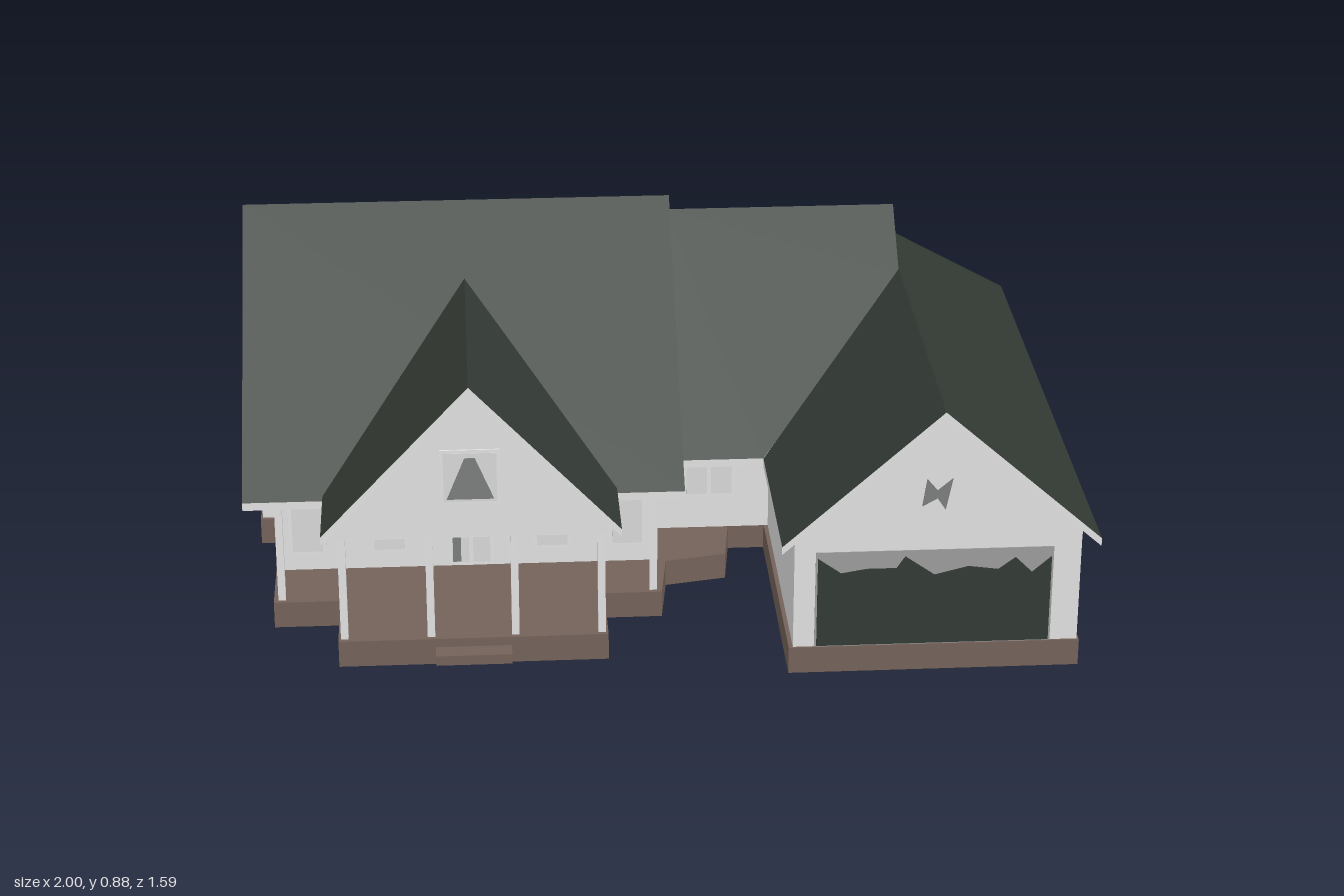
import * as THREE from 'three';

const mat = (name, color, side = THREE.FrontSide) => {
  const m = new THREE.MeshStandardMaterial({ color, side });
  m.name = name;
  return m;
};

export function createModel() {
  const roofGreen = mat('roof green', 0x333a34, THREE.DoubleSide);
  const trim = mat('trim white', 0xe2e2e2, THREE.DoubleSide);
  const wall = mat('wall white', 0xe1e1e1);
  const brown = mat('foundation brown', 0x74625a, THREE.DoubleSide);
  const slabGrey = mat('garage floor grey', 0x747474);
  const shade = mat('opening grey', 0x9c9c9c);
  const pane = mat('pane grey', 0xd8d8d8);
  const glass = mat('dark glass', 0x7c7e7e);

  const house = new THREE.Group();
  house.name = 'house';
  const add = (name, geo, material, parent = house) => {
    const m = new THREE.Mesh(geo, material);
    m.name = name;
    parent.add(m);
    return m;
  };
  const box = (name, material, x0, x1, y0, y1, z0, z1, parent) => {
    const m = add(name, new THREE.BoxGeometry(x1 - x0, y1 - y0, z1 - z0), material, parent);
    m.position.set((x0 + x1) / 2, (y0 + y1) / 2, (z0 + z1) / 2);
    return m;
  };
  const buffer = (pos) => {
    const g = new THREE.BufferGeometry();
    g.setAttribute('position', new THREE.Float32BufferAttribute(pos, 3));
    g.computeVertexNormals();
    return g;
  };
  const extrude = (pts, depth) =>
    new THREE.ExtrudeGeometry(new THREE.Shape(pts.map((p) => new THREE.Vector2(p[0], p[1]))), { depth, bevelEnabled: false });

  // Upright prism over an outline of [x, z] points
  const prism = (name, material, outline, y0, y1) => {
    const geo = extrude(outline.map(([x, z]) => [x, -z]), y1 - y0).rotateX(-Math.PI / 2);
    add(name, geo.translate(0, y0, 0), material);
  };
  // Open upright band around an outline of [x, z] points
  const skirt = (name, material, outline, y0, y1) => {
    const pos = [];
    outline.forEach(([ax, az], i) => {
      const [bx, bz] = outline[(i + 1) % outline.length];
      pos.push(ax, y0, az, ax, y1, az, bx, y1, bz, ax, y0, az, bx, y1, bz, bx, y0, bz);
    });
    add(name, buffer(pos), material);
  };
  // Thin upright walls: facing z from [x, y] points, facing x from [z, y] points
  const gableZ = (name, z, pts) => add(name, extrude(pts, 0.02).translate(0, 0, z - 0.02), wall);
  const gableX = (name, x, pts) =>
    add(name, extrude(pts.map(([z, y]) => [-z, y]), 0.02).rotateY(Math.PI / 2).translate(x - 0.01, 0, 0), wall);

  // Sloping roof panel: green top, white underside and fascia
  const roofPanel = (name, pts, t = 0.02) => {
    const n = pts.length;
    const tris = THREE.ShapeUtils.triangulateShape(pts.map((p) => new THREE.Vector2(p[0], p[2])), []);
    const surface = (edges, drop) => {
      const pos = [];
      const put = (i, d) => pos.push(pts[i][0], pts[i][1] - d, pts[i][2]);
      for (const tri of tris) for (const i of tri) put(i, drop);
      if (edges) for (let i = 0; i < n; i++) {
        const j = (i + 1) % n;
        put(i, 0); put(i, t); put(j, t);
        put(i, 0); put(j, t); put(j, 0);
      }
      return buffer(pos);
    };
    const group = new THREE.Group();
    group.name = name;
    house.add(group);
    add(name + 'Shingles', surface(false, 0), roofGreen, group);
    add(name + 'Fascia', surface(true, t), trim, group);
  };

  // Foundation: hollow skirt with raised floors, and a front step
  const base = [
    [-0.94, -0.69], [-0.57, -0.69], [-0.57, -0.755], [0.33, -0.755], [0.33, -0.69], [0.97, -0.69],
    [0.97, 0.74], [0.28, 0.74], [0.28, 0.09], [0.19, 0.09], [0.17, 0.25], [0.02, 0.28], [0, 0.44],
    [-0.14, 0.44], [-0.14, 0.645], [-0.78, 0.645], [-0.78, 0.44], [-0.94, 0.44],
  ];
  skirt('foundationSkirt', brown, base, 0, 0.067);
  prism('floor', brown, base, 0.056, 0.067);
  box('garageFloor', slabGrey, 0.282, 0.968, 0.052, 0.056, 0.06, 0.738);
  box('chimneyBase', brown, -0.99, -0.94, 0, 0.067, -0.24, -0.01);
  box('frontStep', brown, -0.55, -0.37, 0.02, 0.045, 0.645, 0.69);

  // Walls, with a recess for the back porch
  prism('walls', wall, [
    [-0.935, -0.67], [-0.57, -0.67], [-0.57, -0.45], [0.33, -0.45], [0.33, -0.67], [0.965, -0.67],
    [0.965, 0.735], [0.29, 0.735], [0.29, 0.1], [0, 0.1], [0, 0.27], [-0.935, 0.27],
  ], 0.067, 0.345);
  prism('porchCeiling', trim, [
    [-0.935, -0.67], [-0.57, -0.67], [-0.57, -0.75], [0.33, -0.75], [0.33, -0.67], [0.964, -0.67],
    [0.964, 0.734], [0.291, 0.734], [0.291, 0.27], [0.01, 0.27], [0.01, 0.44], [-0.14, 0.44],
    [-0.14, 0.649], [-0.78, 0.649], [-0.78, 0.44], [-0.935, 0.44],
  ], 0.337, 0.36);

  // Gable walls
  gableZ('porchGable', 0.65, [[-0.78, 0.34], [-0.14, 0.34], [-0.14, 0.375], [-0.46, 0.715], [-0.78, 0.375]]);
  gableZ('garageGable', 0.737, [[0.29, 0.345], [0.965, 0.345], [0.965, 0.368], [0.62, 0.667], [0.29, 0.368]]);
  for (const [name, x] of [['leftGable', -0.925], ['mainRightGable', 0.03]])
    gableX(name, x, [[-0.67, 0.345], [-0.67, 0.372], [-0.11, 0.862], [0.44, 0.372], [0.44, 0.345]]);
  gableX('middleGable', 0.6, [[-0.66, 0.36], [-0.2, 0.79], [0.26, 0.375]]);

  // Roof panels
  const E = 0.36;
  roofPanel('backRoof', [
    [-1, 0.885, -0.11], [0.052, 0.885, -0.11], [0.052, 0.812, -0.2], [0.625, 0.812, -0.2],
    [0.625, 0.69, -0.335], [1, E, -0.715], [-1, E, -0.715],
  ]);
  roofPanel('mainFrontRoof', [[-1, 0.885, -0.11], [0.052, 0.885, -0.11], [0.052, E, 0.485], [-1, E, 0.485]]);
  roofPanel('middleFrontRoof', [
    [0.05, 0.812, -0.2], [0.625, 0.812, -0.2], [0.625, 0.68, -0.05], [0.255, E, 0.317], [0.05, E, 0.317],
  ]);
  roofPanel('garageLeftRoof', [[0.625, 0.693, 0.79], [0.625, 0.693, -0.06], [0.255, E, 0.32], [0.255, E, 0.79]]);
  roofPanel('garageRightRoof', [[0.625, 0.693, 0.79], [1, E, 0.79], [1, E, -0.715], [0.625, 0.693, -0.335]]);
  for (const s of [-1, 1])
    roofPanel(s < 0 ? 'porchRightRoof' : 'porchLeftRoof', [
      [-0.46, 0.742, 0.695], [-0.46, 0.742, 0.05], [-0.46 + s * 0.35, 0.37, 0.48], [-0.46 + s * 0.35, 0.37, 0.695],
    ]);
  roofPanel('backPorchRoof', [[-0.63, 0.478, -0.59], [0.37, 0.478, -0.59], [0.37, 0.38, -0.797], [-0.63, 0.38, -0.797]]);

  // Side chimney with sloping cap
  box('chimney', wall, -0.985, -0.93, 0.067, 0.36, -0.23, -0.02);
  roofPanel('chimneyCap', [[-1, 0.37, -0.245], [-0.93, 0.425, -0.245], [-0.93, 0.425, -0.005], [-1, 0.37, -0.005]], 0.008);

  // Porch columns
  const columns = [
    [-0.765, 0.625], [-0.56, 0.625], [-0.36, 0.625], [-0.155, 0.625], [-0.92, 0.42], [-0.02, 0.42],
    [-0.555, -0.74], [-0.28, -0.74], [0.01, -0.74], [0.31, -0.74],
  ];
  for (const [x, z] of columns) box('porchColumn', trim, x - 0.009, x + 0.009, 0.067, 0.34, z - 0.009, z + 0.009);

  // Windows: a frame plate with a pane on top, turned to face outwards
  const opening = (name, x, y, z, w, h, turn, bar = false) => {
    const g = new THREE.Group();
    g.name = name;
    g.position.set(x, y, z);
    g.rotation.y = turn;
    house.add(g);
    box(name + 'Frame', trim, -w / 2, w / 2, -h / 2, h / 2, -0.002, 0.004, g);
    box(name + 'Pane', pane, -w / 2 + 0.008, w / 2 - 0.008, -h / 2 + 0.008, h / 2 - 0.008, 0, 0.005, g);
    if (bar) box(name + 'Bar', trim, -0.005, 0.005, -h / 2, h / 2, 0, 0.007, g);
    return g;
  };
  // Dark piece of glass cut to a shape, laid on a window
  const darkPane = (parent, pts) => add('darkPane', extrude(pts, 0.002).translate(0, 0, 0.005), glass, parent);

  for (const x of [-0.86, -0.66, -0.26, -0.075]) opening('frontWindow', x, 0.22, 0.27, 0.09, 0.22, 0);
  const door = opening('frontDoor', -0.46, 0.2, 0.27, 0.11, 0.26, 0, true);
  darkPane(door, [[-0.045, -0.12], [-0.025, -0.12], [-0.025, 0.12], [-0.045, 0.12]]);
  opening('middleWindow', 0.14, 0.22, 0.1, 0.13, 0.13, 0, true);
  const attic = opening('gableWindow', -0.46, 0.495, 0.65, 0.14, 0.14, 0);
  darkPane(attic, [[-0.055, -0.055], [0.055, -0.055], [0.012, 0.05], [-0.012, 0.05]]);
  for (const z of [0.55, 0.25]) opening('rightWindow', 0.965, 0.22, z, 0.088, 0.22, Math.PI / 2);
  const small = opening('rightSmallWindow', 0.965, 0.26, -0.535, 0.07, 0.14, Math.PI / 2);
  darkPane(small, [[-0.033, -0.05], [0.033, -0.068], [0.033, 0.068], [-0.033, 0.068]]);
  for (const x of [-0.75, 0.4, 0.62]) opening('backWindow', x, 0.22, -0.67, 0.085, 0.22, Math.PI);
  for (const x of [-0.4, 0.18]) opening('backPorchWindow', x, 0.22, -0.45, 0.09, 0.22, Math.PI);
  opening('backDoor', -0.12, 0.2, -0.45, 0.16, 0.26, Math.PI, true);

  // Garage opening with a ragged-topped door, and the broken gable vent
  box('garageOpening', shade, 0.34, 0.9, 0.067, 0.315, 0.73, 0.737);
  const garageDoor = [
    [0.345, 0.07], [0.895, 0.07], [0.895, 0.29], [0.85, 0.25], [0.81, 0.29], [0.77, 0.26], [0.7, 0.27],
    [0.62, 0.25], [0.55, 0.3], [0.53, 0.27], [0.46, 0.27], [0.4, 0.26], [0.345, 0.3],
  ];
  add('garageDoor', extrude(garageDoor, 0.003).translate(0, 0, 0.737), roofGreen);
  const vent = [[0.585, 0.43], [0.62, 0.45], [0.64, 0.42], [0.655, 0.5], [0.62, 0.47], [0.595, 0.5]];
  add('gableVent', extrude(vent, 0.003).translate(0, 0, 0.737), glass);

  return house;
}
